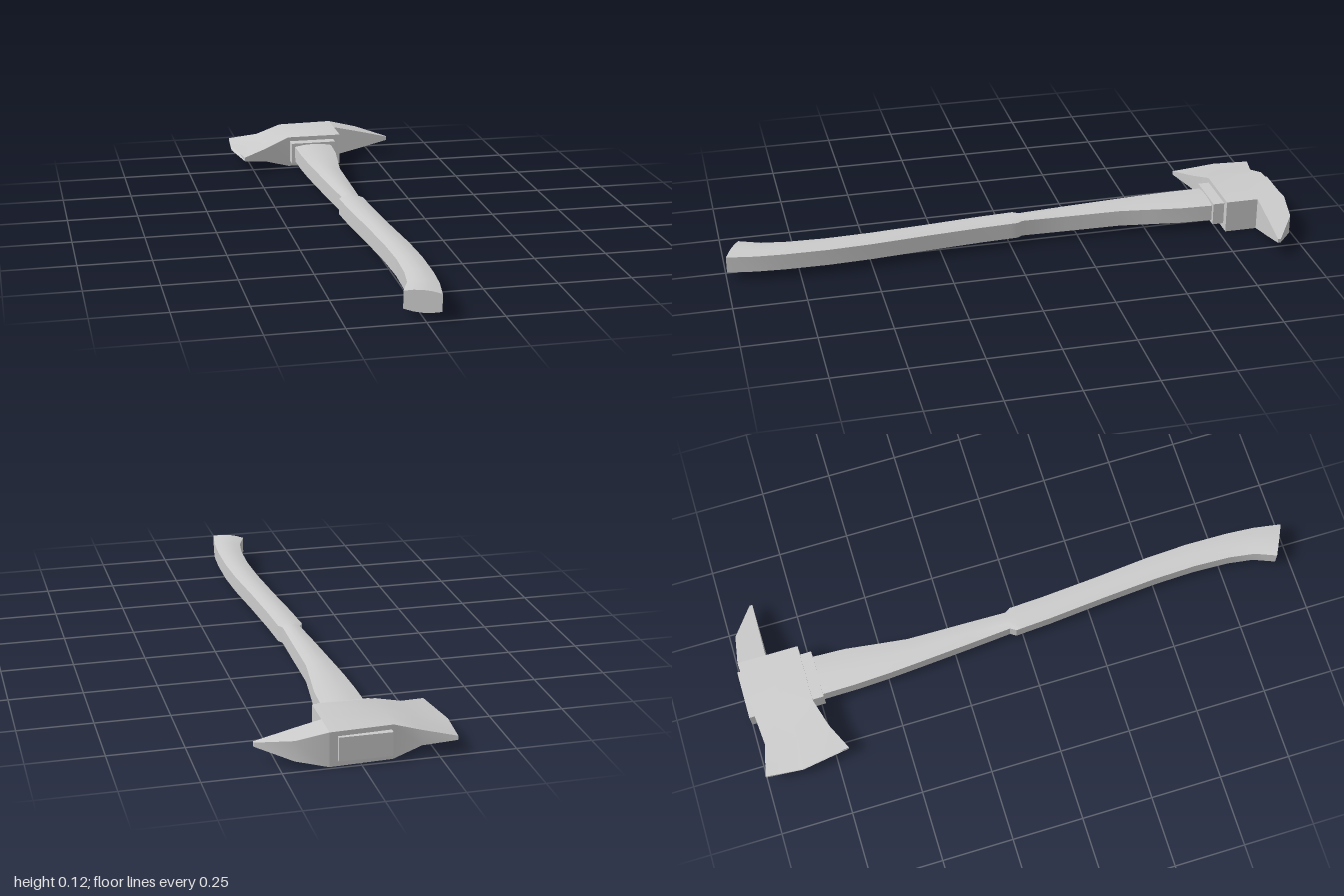
import * as THREE from 'three';
import { toCreasedNormals } from 'three/addons/utils/BufferGeometryUtils.js';

const MID = 0.058; // height of the axe's flat symmetry plane

// Skin a row of closed rings (each an array of [x, y, z]) and cap both ends.
function loft(rings, crease) {
  const n = rings[0].length, index = [];
  for (let i = 0; i < rings.length - 1; i++) {
    for (let j = 0; j < n; j++) {
      const k = (j + 1) % n;
      const a = i * n + j, b = i * n + k, c = a + n, d = b + n;
      index.push(a, b, d, a, d, c);
    }
  }
  const last = (rings.length - 1) * n;
  for (let j = 1; j < n - 1; j++) {
    index.push(0, j + 1, j, last, last + j, last + j + 1);
  }
  const geo = new THREE.BufferGeometry();
  geo.setAttribute('position', new THREE.Float32BufferAttribute(rings.flat(2), 3));
  geo.setIndex(index);
  return toCreasedNormals(geo, crease);
}

// Head ring: three plan points from back to front, mirrored above and below.
function headRing(half, plan) {
  const top = plan.map(([x, z]) => [x, MID + half, z]);
  const bottom = plan.map(([x, z]) => [x, MID - half, z]).reverse();
  return [...top, ...bottom];
}
const straight = (half, x, back, front) =>
  headRing(half, [[x, back], [x, (back + front) / 2], [x, front]]);

// Handle ring: slightly crowned top and bottom between two side edges.
function handleRing([xl, xr, zl, zr = zl]) {
  const crown = [[0, 0.029], [0.25, 0.035], [0.5, 0.037], [0.75, 0.035], [1, 0.029]];
  const at = (t, y) => [xl + (xr - xl) * t, MID + y, zl + (zr - zl) * t];
  return [
    ...crown.map(([t, h]) => at(t, -h)),
    ...crown.map(([t, h]) => at(t, h)).reverse(),
  ];
}

export function createModel() {
  const group = new THREE.Group();
  group.name = 'axe';
  const material = new THREE.MeshStandardMaterial({ color: 0xcccccc });
  const add = (name, geo) => {
    const mesh = new THREE.Mesh(geo, material);
    mesh.name = name;
    group.add(mesh);
    return mesh;
  };

  // Blade flaring out from the thick body of the head
  add('bladeAndBody', loft([
    headRing(0.007, [[-0.307, -1.0], [-0.317, -0.87], [-0.29, -0.70]]),
    straight(0.026, -0.2, -0.973, -0.745),
    straight(0.058, -0.105, -0.98, -0.775),
    straight(0.058, 0.1, -0.99, -0.775),
  ], 0.5));

  // Tapering pick on the opposite side
  add('pick', loft([
    straight(0.058, 0.1, -0.99, -0.89),
    straight(0.034, 0.205, -0.975, -0.89),
    straight(0.007, 0.315, -0.9, -0.89),
  ], 0.5));

  // Rectangular socket passing through the head
  const socket = add('socket', new THREE.BoxGeometry(0.172, 0.08, 0.265));
  socket.position.set(-0.013, MID + 0.002, -0.8675);

  // Curved handle: left x, right x, left z, right z
  add('handle', loft([
    [-0.086, 0.058, -0.76],
    [-0.085, 0.052, -0.62],
    [-0.08, 0.036, -0.5],
    [-0.073, 0.023, -0.4],
    [-0.058, 0.02, -0.2],
    [-0.045, 0.017, -0.045],
    [-0.058, 0.029, -0.025],
    [-0.056, 0.03, 0.0],
    [-0.05, 0.035, 0.1],
    [-0.032, 0.05, 0.3],
    [-0.017, 0.068, 0.5],
    [-0.012, 0.075, 0.65],
    [-0.017, 0.073, 0.78, 0.8],
    [-0.03, 0.066, 0.87, 0.9],
    [-0.06, 0.05, 0.945, 0.998],
  ].map(handleRing), 0.6));

  return group;
}
